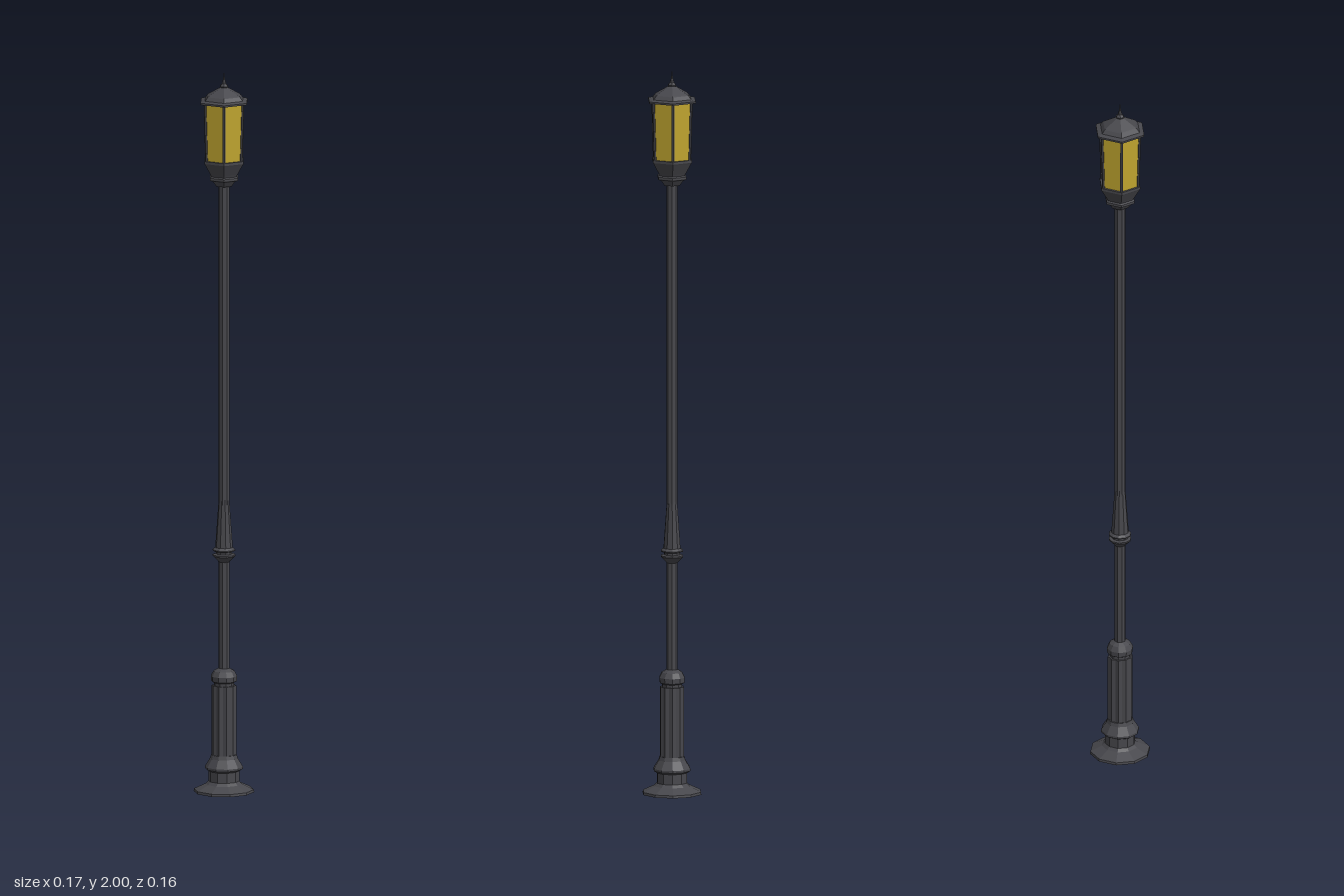
import * as THREE from 'three';

export function createModel() {
  const model = new THREE.Group();
  model.name = 'streetLamp';
  // The foot is open underneath, so the iron is two-sided
  const iron = new THREE.MeshStandardMaterial({ color: 0x47474c, flatShading: true, side: THREE.DoubleSide });
  iron.name = 'dark iron';
  const amber = new THREE.MeshStandardMaterial({ color: 0xc0a52f, flatShading: true });
  amber.name = 'amber glass';

  // Faceted turned part from [radius, height] pairs, lowest first, with a corner on +x
  function turned(name, sides, profile, material = iron, parent = model) {
    const points = profile.map(([r, y]) => new THREE.Vector2(r, y));
    const mesh = new THREE.Mesh(new THREE.LatheGeometry(points, sides, Math.PI / 2), material);
    mesh.name = name;
    parent.add(mesh);
    return mesh;
  }

  // Stepped foot with a projecting ring
  turned('foot', 10, [
    [0.083, 0], [0.082, 0.007], [0.05, 0.022], [0.042, 0.03],
    [0.042, 0.058], [0.052, 0.064], [0.052, 0.07], [0.038, 0.093], [0.035, 0.103], [0, 0.103],
  ]);

  // Fluted lower column
  const column = turned('flutedColumn', 20, [[0.034, 0.1], [0.034, 0.295], [0, 0.295]]);
  const pos = column.geometry.attributes.position;
  for (let i = 0; i < pos.count; i++) {
    const flute = Math.floor(i / 3) % 2 ? 0.87 : 1;
    pos.setX(i, pos.getX(i) * flute);
    pos.setZ(i, pos.getZ(i) * flute);
  }
  column.geometry.computeVertexNormals();

  // Rounded collar on the column
  turned('columnCollar', 10, [
    [0, 0.29], [0.028, 0.29], [0.028, 0.303], [0.035, 0.307], [0.036, 0.321], [0.029, 0.335], [0.015, 0.343],
  ]);

  // Slim shaft and the flared sleeve on it
  turned('shaft', 8, [[0.0155, 0.335], [0.0155, 1.7]]);
  turned('sleeve', 10, [
    [0.0145, 0.637], [0.02, 0.643], [0.031, 0.654], [0.031, 0.658], [0.022, 0.66],
    [0.022, 0.666], [0.031, 0.669], [0.031, 0.672], [0.024, 0.678], [0.0145, 0.812],
  ]);

  // Six-sided lantern
  const lantern = new THREE.Group();
  lantern.name = 'lantern';
  model.add(lantern);
  turned('lanternCup', 6, [
    [0.0145, 1.68], [0.024, 1.681], [0.034, 1.695], [0.044, 1.699], [0.044, 1.706], [0.039, 1.709],
    [0.042, 1.715], [0.059, 1.744], [0.061, 1.747], [0.061, 1.754], [0, 1.754],
  ], iron, lantern);
  turned('glass', 6, [[0.054, 1.752], [0.059, 1.914]], amber, lantern);

  // Corner bars follow the slanted glass edges
  for (let i = 0; i < 6; i++) {
    const a = (i * Math.PI) / 3;
    const bottom = new THREE.Vector3(0.054 * Math.cos(a), 1.75, 0.054 * Math.sin(a));
    const top = new THREE.Vector3(0.059 * Math.cos(a), 1.914, 0.059 * Math.sin(a));
    const bar = new THREE.Mesh(new THREE.CylinderGeometry(0.004, 0.004, bottom.distanceTo(top), 6), iron);
    bar.name = 'cornerBar';
    bar.position.copy(bottom).lerp(top, 0.5);
    bar.quaternion.setFromUnitVectors(new THREE.Vector3(0, 1, 0), top.sub(bottom).normalize());
    lantern.add(bar);
  }

  // Roof with its wide brim and raised step, and the spike on top
  turned('roof', 6, [
    [0, 1.912], [0.073, 1.912], [0.073, 1.917], [0.059, 1.921], [0.051, 1.931], [0.048, 1.933], [0.011, 1.954], [0, 1.954],
  ], iron, lantern);
  turned('finial', 6, [
    [0.008, 1.95], [0.012, 1.957], [0.011, 1.96], [0.006, 1.964], [0.005, 1.971], [0.003, 1.976], [0, 2],
  ], iron, lantern);

  return model;
}
